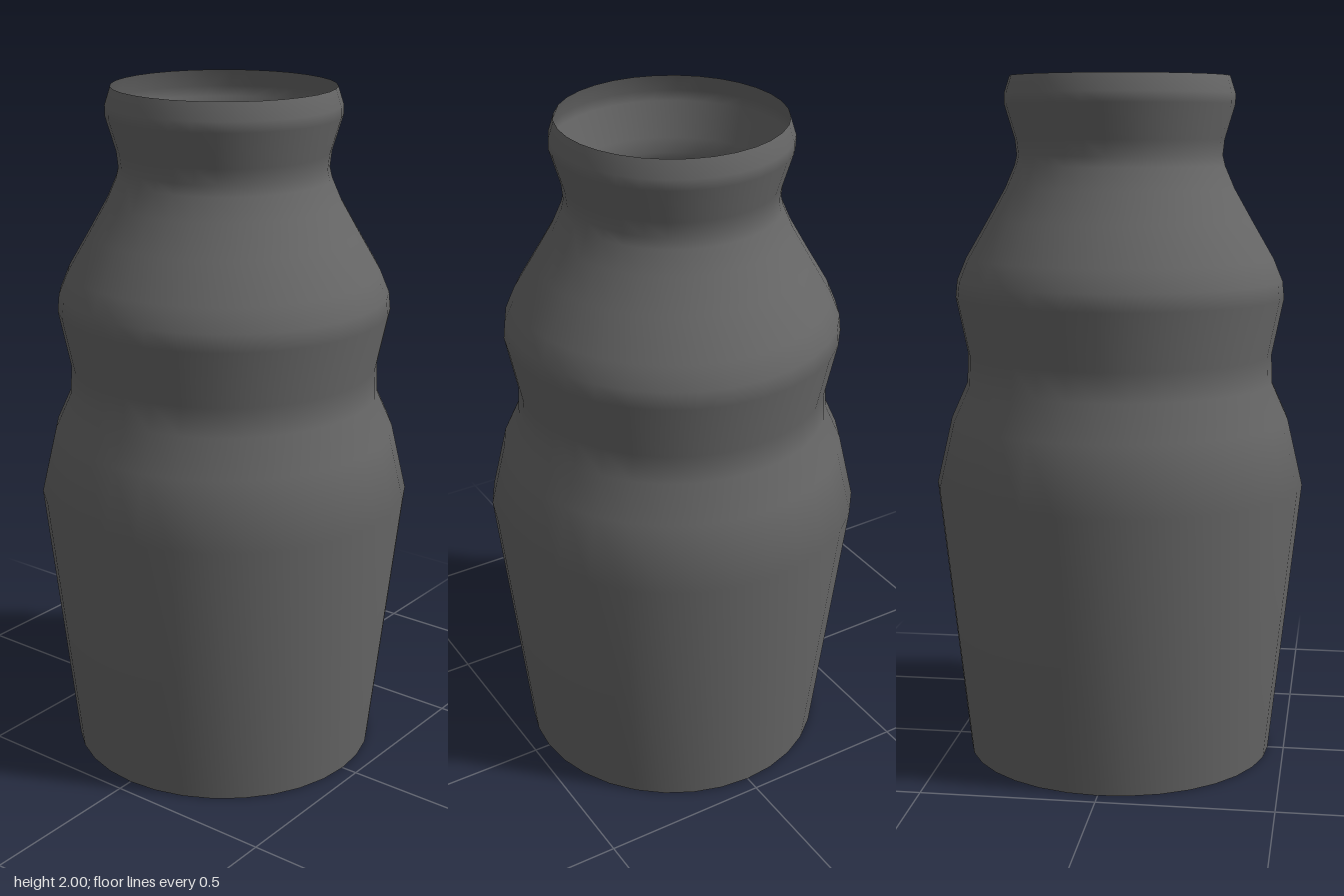
import * as THREE from 'three';

const SEGMENTS = 32;

export function createModel() {
  const model = new THREE.Group();
  const material = new THREE.MeshStandardMaterial({ color: 0x666666, side: THREE.DoubleSide });

  // Thin turned wall, listed as [radius, height] from base to rim
  const profile = [
    [0.452, 0], [0.542, 0.815], [0.497, 1.01], [0.45, 1.115], [0.447, 1.2],
    [0.481, 1.365], [0.476, 1.415], [0.449, 1.48], [0.385, 1.59], [0.334, 1.68],
    [0.306, 1.745], [0.299, 1.775], [0.304, 1.82],
    [0.334, 1.92], [0.334, 1.95], [0.318, 2],
  ].map(([r, y]) => new THREE.Vector2(r, y));
  const wall = new THREE.Mesh(new THREE.LatheGeometry(profile, SEGMENTS), material);
  wall.name = 'bottleWall';
  model.add(wall);

  // Flat floor, with a hard edge against the wall and facing down
  const floor = new THREE.Mesh(new THREE.CircleGeometry(0.452, SEGMENTS), material);
  floor.name = 'bottleFloor';
  floor.rotation.x = Math.PI / 2;
  model.add(floor);

  return model;
}
